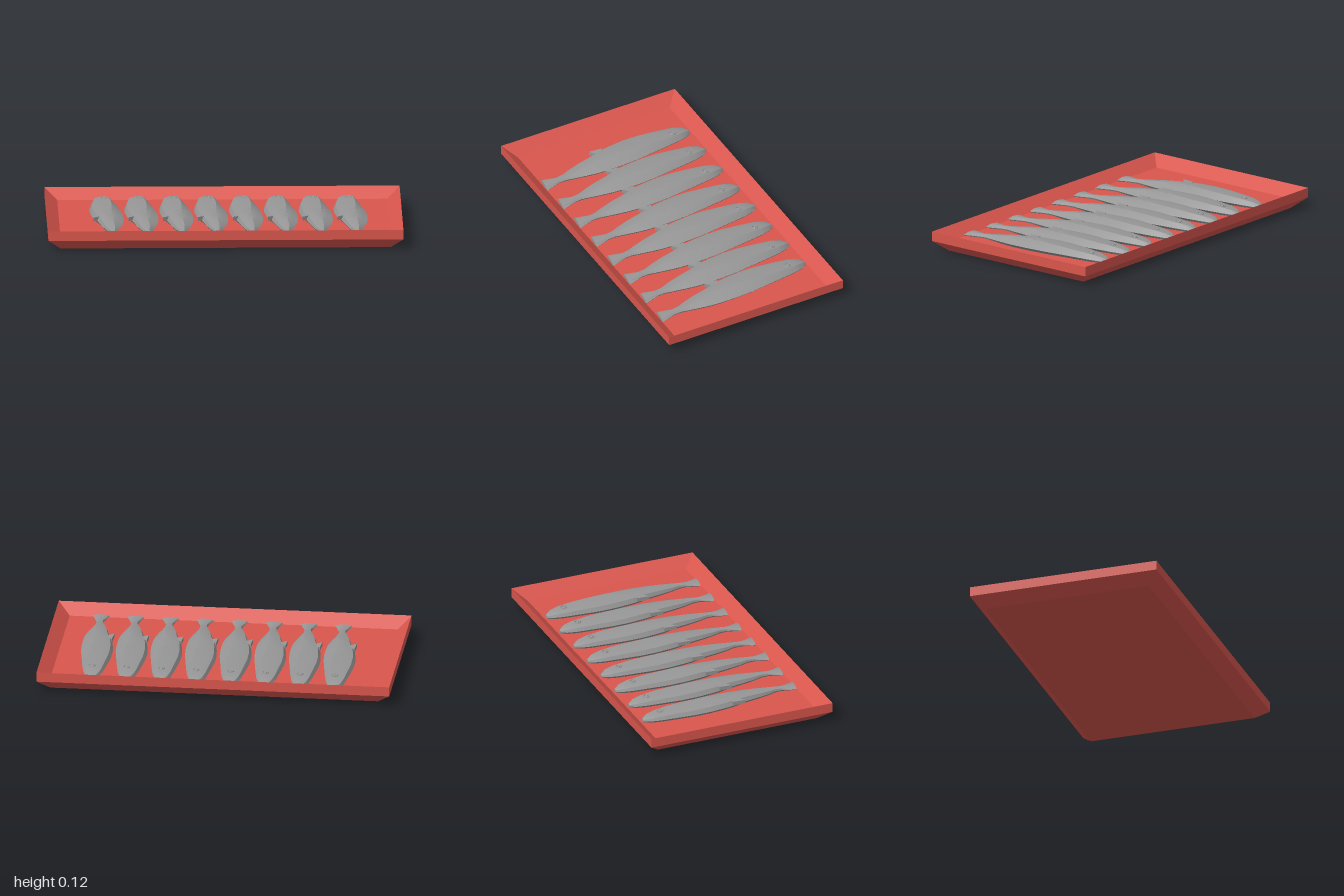
import * as THREE from 'three';
import { toCreasedNormals } from 'three/addons/utils/BufferGeometryUtils.js';

// Joins equal rings of [x, y, z] points into a closed solid
function loft(rings, crease) {
  const n = rings[0].length, last = (rings.length - 1) * n, index = [];
  for (let i = 0; i < rings.length - 1; i++) {
    for (let j = 0; j < n; j++) {
      const a = i * n + j, b = i * n + (j + 1) % n;
      index.push(a, b, b + n, a, b + n, a + n);
    }
  }
  for (let j = 1; j < n - 1; j++) {
    index.push(0, j + 1, j, last, last + j, last + j + 1);
  }
  const geo = new THREE.BufferGeometry();
  geo.setAttribute('position', new THREE.Float32BufferAttribute(rings.flat(2), 3));
  geo.setIndex(index);
  return toCreasedNormals(geo, crease);
}

const FLOOR = 0.055;

// Fish stations: z, left edge, back ridge, right edge, thickness
const STATIONS = [
  [-0.472, -0.022, -0.006, 0.006, 0.018],
  [-0.44, -0.048, 0.012, 0.03, 0.032],
  [-0.385, -0.064, 0.025, 0.048, 0.04],
  [-0.29, -0.075, 0.034, 0.064, 0.046],
  [-0.18, -0.086, 0.037, 0.08, 0.05],
  [-0.085, -0.086, 0.037, 0.094, 0.052],
  [0.005, -0.076, 0.035, 0.1, 0.052],
  [0.065, -0.066, 0.035, 0.101, 0.051],
  [0.12, -0.048, 0.034, 0.1, 0.049],
  [0.17, -0.036, 0.04, 0.096, 0.045],
  [0.235, -0.022, 0.044, 0.085, 0.039],
  [0.3, -0.004, 0.048, 0.071, 0.03],
  [0.353, 0.016, 0.046, 0.06, 0.025],
  [0.395, 0.02, 0.046, 0.061, 0.021],
  [0.476, -0.006, 0.052, 0.092, 0.018],
];

function fishSection([z, l, ridge, r, h], i) {
  const w = r - l;
  const slant = i === STATIONS.length - 1 ? 0.12 : 0; // oblique tail end
  return [
    [l + 0.1 * w, 0], [r - 0.1 * w, 0], [r, 0.35], [(ridge + r) / 2, 0.72],
    [ridge, 1], [l + 0.3 * w, 0.97], [l + 0.08 * w, 0.82], [l, 0.35],
  ].map(([x, y]) => [x, FLOOR + y * h, z + slant * x]);
}

export function createModel() {
  const group = new THREE.Group();
  const trayRed = new THREE.MeshStandardMaterial({ color: 0xd9564d });
  trayRed.name = 'tray red';
  const fishGrey = new THREE.MeshStandardMaterial({ color: 0x979797 });
  fishGrey.name = 'fish grey';

  const add = (parent, name, geo, mat, x = 0, y = 0, z = 0) => {
    const mesh = new THREE.Mesh(geo, mat);
    mesh.name = name;
    mesh.position.set(x, y, z);
    parent.add(mesh);
  };

  // Tray: base, flared side, upright rim, then down the sloped inside
  const trayRings = [
    [0.93, 0.485, 0], [1, 0.555, 0.06], [1, 0.555, 0.115], [0.93, 0.485, FLOOR],
  ].map(([x, z, y]) => [[-x, y, z], [x, y, z], [x, y, -z], [-x, y, -z]]);
  add(group, 'tray', loft(trayRings, 0.1), trayRed);

  // Shared fish parts
  const body = loft(STATIONS.map(fishSection), 0.45);
  const finShape = new THREE.Shape([
    [-0.066, 0.06], [-0.02, 0.06], [-0.008, 0.092], [-0.04, 0.112], [-0.07, 0.135],
  ].map(([x, z]) => new THREE.Vector2(x, z)));
  const fin = new THREE.ExtrudeGeometry(finShape, { depth: 0.022, bevelEnabled: false });
  fin.rotateX(Math.PI / 2);
  const socket = new THREE.TorusGeometry(0.016, 0.004, 6, 20).rotateX(Math.PI / 2);
  const pupil = new THREE.SphereGeometry(0.009, 14, 8).scale(1, 0.5, 1);

  // Row of eight fish
  for (let i = 0; i < 8; i++) {
    const fish = new THREE.Group();
    fish.name = 'fish' + (i + 1);
    fish.position.x = -0.668 + i * 0.1964;
    add(fish, 'body', body, fishGrey);
    add(fish, 'bellyFin', fin, fishGrey, 0, 0.097, 0);
    add(fish, 'eyeSocket', socket, fishGrey, 0, 0.096, -0.36);
    add(fish, 'pupil', pupil, fishGrey, 0, 0.097, -0.36);
    group.add(fish);
  }
  return group;
}
